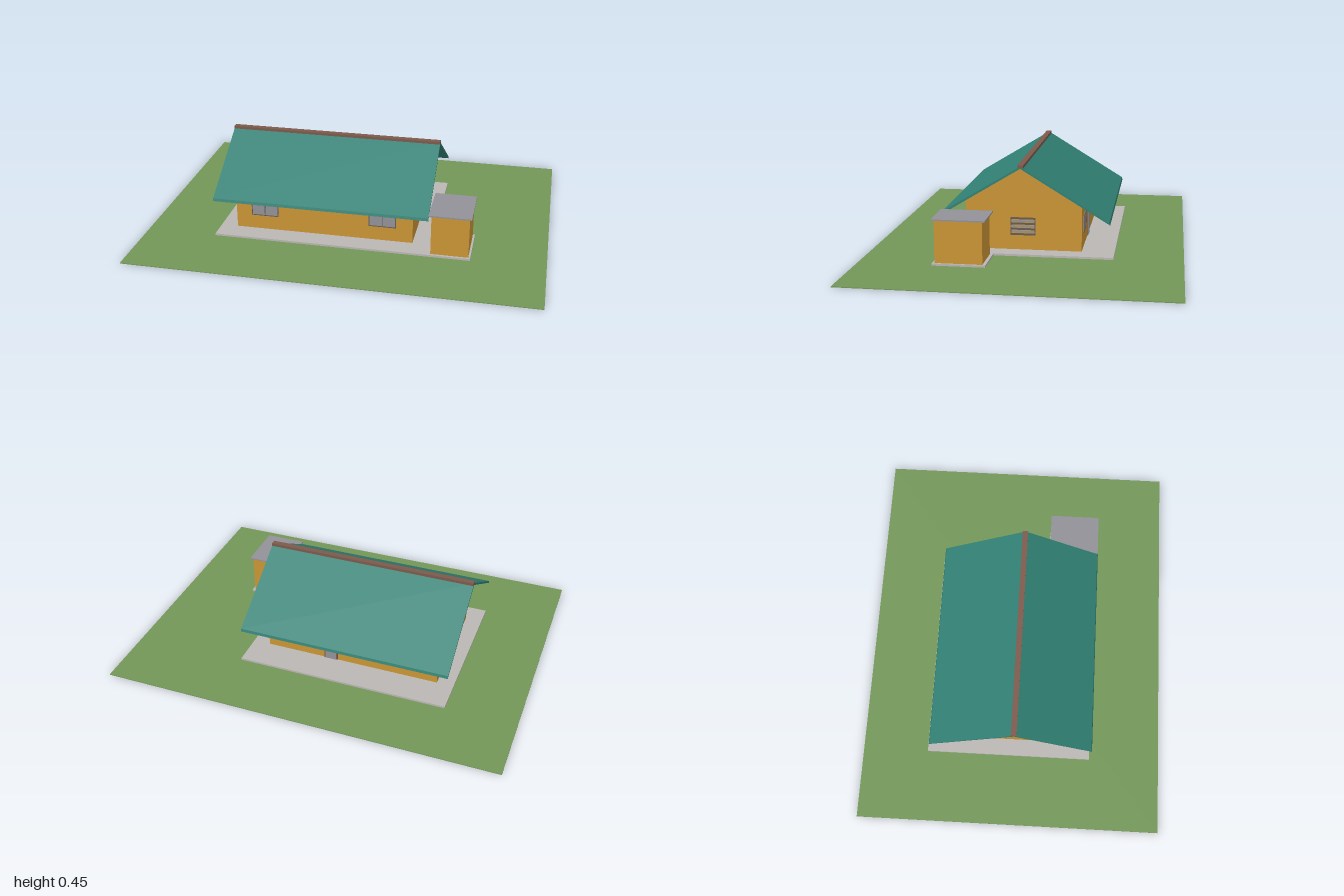
import * as THREE from 'three';

const mat = (name, color, side = THREE.FrontSide) => {
  const m = new THREE.MeshStandardMaterial({ color, side });
  m.name = name;
  return m;
};

export function createModel() {
  const model = new THREE.Group();
  model.name = 'house';

  const grass = mat('grass green', 0x729658);
  const concrete = mat('pale concrete', 0xbab6b3);
  const ochre = mat('ochre wall', 0xca9535);
  const teal = mat('teal roofing', 0x318074);
  const brown = mat('ridge brown', 0x7c5a4c);
  const grey = mat('cool grey', 0x919197);
  const dark = mat('dark frame', 0x655a55);

  // box given by its limits on each axis
  const box = (name, m, [x0, x1], [y0, y1], [z0, z1], parent = model) => {
    const mesh = new THREE.Mesh(new THREE.BoxGeometry(x1 - x0, y1 - y0, z1 - z0), m);
    mesh.position.set((x0 + x1) / 2, (y0 + y1) / 2, (z0 + z1) / 2);
    mesh.name = name;
    parent.add(mesh);
    return mesh;
  };

  // profile of [z, y] points swept along x
  const sweep = (name, m, points, x0, x1) => {
    const shape = new THREE.Shape(points.map(([z, y]) => new THREE.Vector2(-z, y)));
    const geo = new THREE.ExtrudeGeometry(shape, { depth: x1 - x0, bevelEnabled: false });
    geo.rotateY(Math.PI / 2).translate(x0, 0, 0);
    const mesh = new THREE.Mesh(geo, m);
    mesh.name = name;
    model.add(mesh);
  };

  // ground and paving
  box('lawn', grass, [-1, 1], [0, 0.004], [-0.763, 0.763]);
  box('housePaving', concrete, [-0.645, 0.43], [0.004, 0.014], [-0.43, 0.405]);
  box('shedPaving', concrete, [0.43, 0.637], [0.004, 0.014], [0.15, 0.405]);

  // gabled walls
  const ridgeZ = 0.018, slope = 0.605;
  const under = (z) => 0.433 - Math.abs(z - ridgeZ) * slope;
  sweep('walls', ochre, [
    [-0.27, 0.014], [0.302, 0.014], [0.302, under(0.302)], [ridgeZ, under(ridgeZ)], [-0.27, under(-0.27)],
  ], -0.56, 0.342);

  // roof with deep eaves, and its ridge cap
  const t = 0.012, front = 0.408, back = -0.412;
  sweep('roof', teal, [
    [front, under(front)], [front - 0.004, under(front) + t + 0.002], [ridgeZ, 0.433 + t],
    [back + 0.004, under(back) + t + 0.002], [back, under(back)], [ridgeZ, 0.4335],
  ], -0.645, 0.43);
  box('ridgeCap', brown, [-0.645, 0.43], [0.433, 0.451], [0.003, 0.031]);

  // framed two-pane window; dir is the outward z direction
  const paneWindow = (name, x0, x1, wallZ, dir) => {
    const g = new THREE.Group();
    g.name = name;
    const span = (d) => (dir > 0 ? [wallZ, wallZ + d] : [wallZ - d, wallZ]);
    box('glass', grey, [x0, x1], [0.088, 0.176], span(0.002), g);
    const mid = (x0 + x1) / 2, w = 0.004;
    for (const x of [x0, mid - w / 2, x1 - w]) box('upright', dark, [x, x + w], [0.088, 0.176], span(0.004), g);
    for (const y of [0.088, 0.172]) box('rail', dark, [x0, x1], [y, y + w], span(0.004), g);
    model.add(g);
  };
  paneWindow('frontWindowRight', -0.48, -0.342, 0.302, 1);
  paneWindow('frontWindowLeft', 0.122, 0.258, 0.302, 1);
  paneWindow('backWindow', 0.122, 0.258, -0.27, -1);

  // louvred gable window
  const louvre = new THREE.Group();
  louvre.name = 'louvredWindow';
  for (let i = 0; i < 7; i++) {
    const y = 0.087 + i * 0.0133;
    box('slat', i % 2 ? grey : dark, [0.342, 0.346], [y, y + 0.009], [-0.043, 0.08], louvre);
  }
  for (const z of [-0.043, 0.076]) box('louvreSide', dark, [0.342, 0.346], [0.087, 0.176], [z, z + 0.004], louvre);
  model.add(louvre);

  // back door
  box('doorFrame', brown, [-0.036, 0.036], [0.014, 0.176], [-0.273, -0.27]);
  box('doorPanel', grey, [-0.029, 0.029], [0.014, 0.169], [-0.275, -0.273]);

  // side shed with a flat roof
  box('shedWalls', ochre, [0.443, 0.627], [0.014, 0.22], [0.165, 0.393]);
  box('shedRoof', grey, [0.43, 0.637], [0.219, 0.226], [0.15, 0.405]);

  return model;
}
